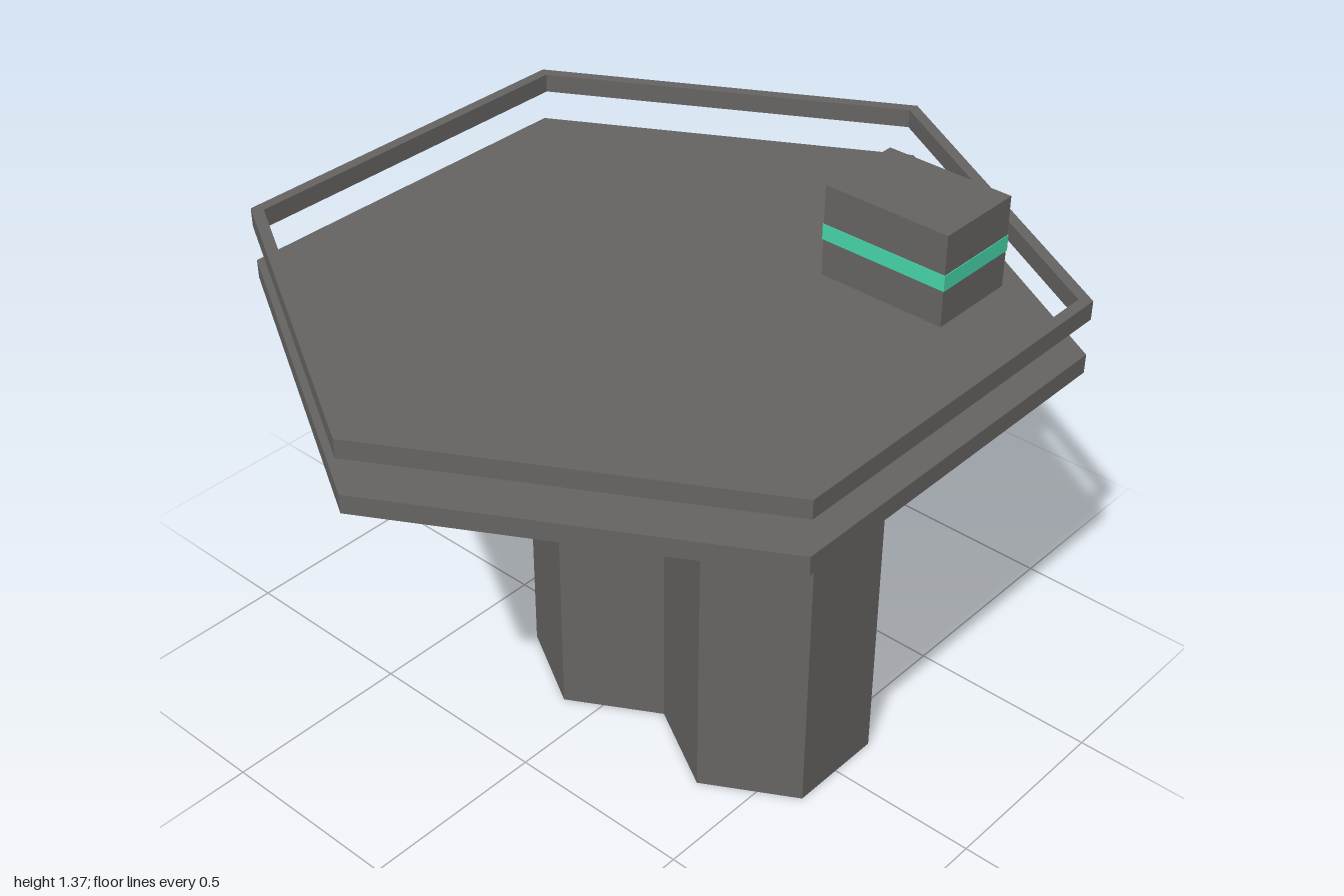
import * as THREE from 'three';

const stone = new THREE.MeshStandardMaterial({ color: 0x666462 });
stone.name = 'dark stone grey';
const teal = new THREE.MeshStandardMaterial({ color: 0x46d3a8 });
teal.name = 'teal stripe';

// Hexagon outline with corners pointing along z once laid flat
function hexPath(PathType, radius) {
  const points = [];
  for (let i = 0; i < 6; i++) {
    const a = Math.PI / 2 + (i * Math.PI) / 3;
    points.push(new THREE.Vector2(Math.cos(a) * radius, Math.sin(a) * radius));
  }
  return new PathType(points);
}

// Upright hexagonal prism, hollow when an inner radius is given
function hexPrism(name, material, radius, bottom, top, x = 0, inner = 0) {
  const shape = hexPath(THREE.Shape, radius);
  if (inner) shape.holes.push(hexPath(THREE.Path, inner));
  const geometry = new THREE.ExtrudeGeometry(shape, { depth: top - bottom, bevelEnabled: false });
  geometry.rotateX(-Math.PI / 2);
  const mesh = new THREE.Mesh(geometry, material);
  mesh.name = name;
  mesh.position.set(x, bottom, 0);
  return mesh;
}

function box(name, material, size, position) {
  const mesh = new THREE.Mesh(new THREE.BoxGeometry(...size), material);
  mesh.name = name;
  mesh.position.set(...position);
  return mesh;
}

export function createModel() {
  const model = new THREE.Group();
  model.name = 'hexagonalPlatform';

  // Twin support columns, each with a stripe
  [[-0.091, 'right'], [0.369, 'left']].forEach(([x, side]) => {
    model.add(hexPrism(side + 'Column', stone, 0.2655, 0, 1.073, x));
    model.add(hexPrism(side + 'ColumnStripe', teal, 0.268, 0.755, 0.82, x));
  });

  // Deck and the rail floating above its edge
  model.add(hexPrism('deck', stone, 1, 1.073, 1.122));
  model.add(hexPrism('rail', stone, 1, 1.217, 1.266, 0, 0.967));

  // Striped block at the back corner of the deck
  model.add(box('block', stone, [0.354, 0.246, 0.248], [0.373, 1.244, -0.494]));
  model.add(box('blockStripe', teal, [0.358, 0.042, 0.252], [0.373, 1.241, -0.494]));

  return model;
}
